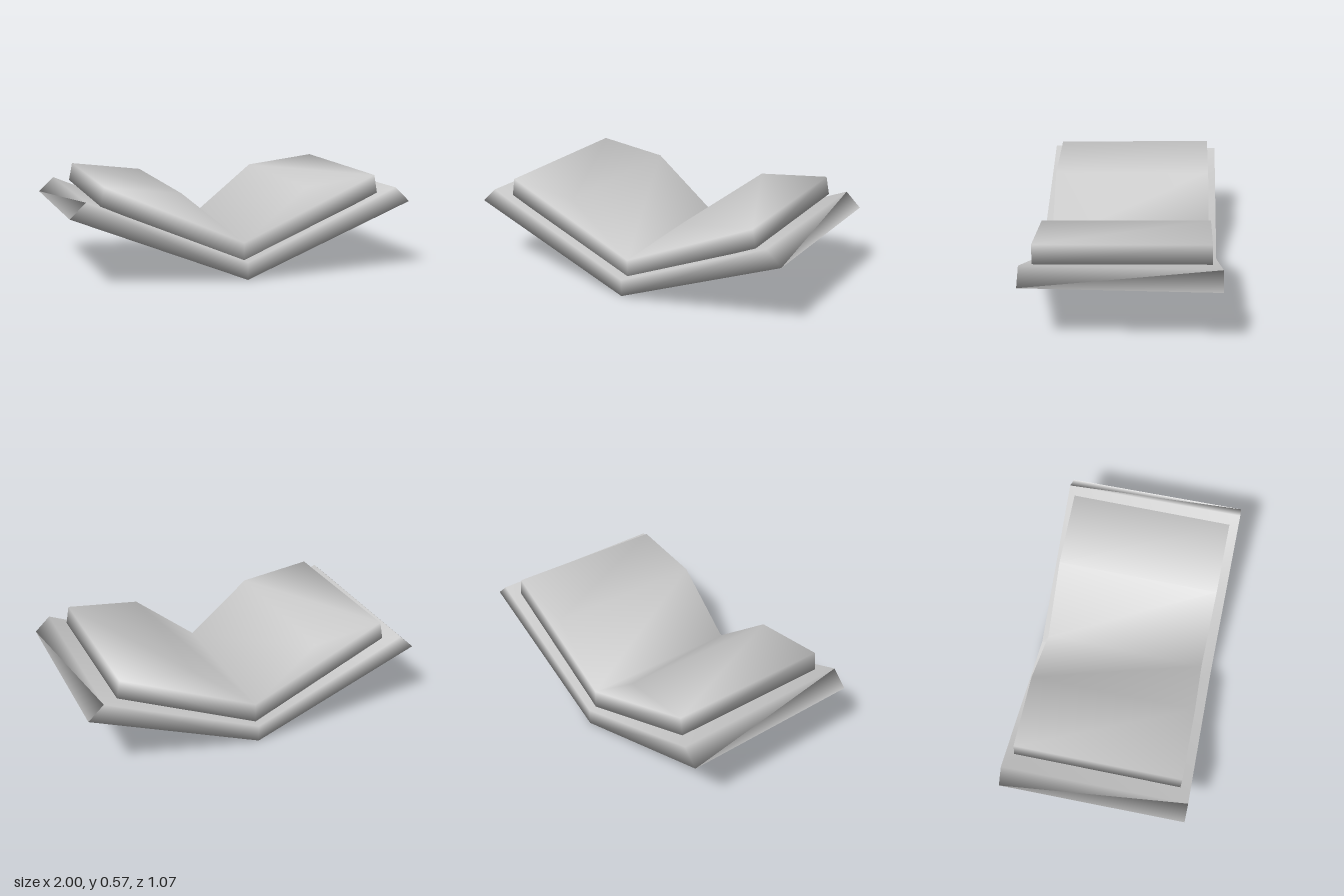
import * as THREE from 'three';

// Mirrors a right-hand half profile (from bottom fold round to top fold) across x = 0.
function mirrored(half) {
  const left = half.slice(1, -1).reverse().map(([x, y]) => [-x, y]);
  return [...half, ...left].map(([x, y]) => new THREE.Vector2(x, y));
}

// Closed prism with shared corners, so the shading runs smoothly over its edges.
function softPrism(profile, halfDepth) {
  const n = profile.length;
  const positions = [];
  for (const z of [halfDepth, -halfDepth]) {
    for (const p of profile) positions.push(p.x, p.y, z);
  }
  const index = [];
  for (let i = 0; i < n; i++) {
    const j = (i + 1) % n;
    index.push(i, i + n, j + n, i, j + n, j);
  }
  for (const [a, b, c] of THREE.ShapeUtils.triangulateShape(profile, [])) {
    index.push(a, b, c, a + n, c + n, b + n);
  }
  const geometry = new THREE.BufferGeometry();
  geometry.setAttribute('position', new THREE.Float32BufferAttribute(positions, 3));
  geometry.setIndex(index);
  geometry.computeVertexNormals();
  return geometry;
}

export function createModel() {
  const book = new THREE.Group();
  book.name = 'openBook';
  const material = new THREE.MeshStandardMaterial({ color: 0xcccccc });

  // V-shaped cover with bevelled outer edges
  const coverProfile = mirrored([[0, 0], [1, 0.4], [0.91, 0.485], [0, 0.1]]);
  const cover = new THREE.Mesh(softPrism(coverProfile, 0.535), material);
  cover.name = 'cover';
  book.add(cover);

  // Two thick page blocks meeting in the fold, tipped slightly forward
  const pageProfile = mirrored([[0, 0.095], [0.82, 0.46], [0.8, 0.565], [0.37, 0.512], [0, 0.21]]);
  const pages = new THREE.Mesh(softPrism(pageProfile, 0.479), material);
  pages.name = 'pages';
  pages.rotation.x = 0.021;
  pages.position.z = -0.012;
  book.add(pages);

  return book;
}
